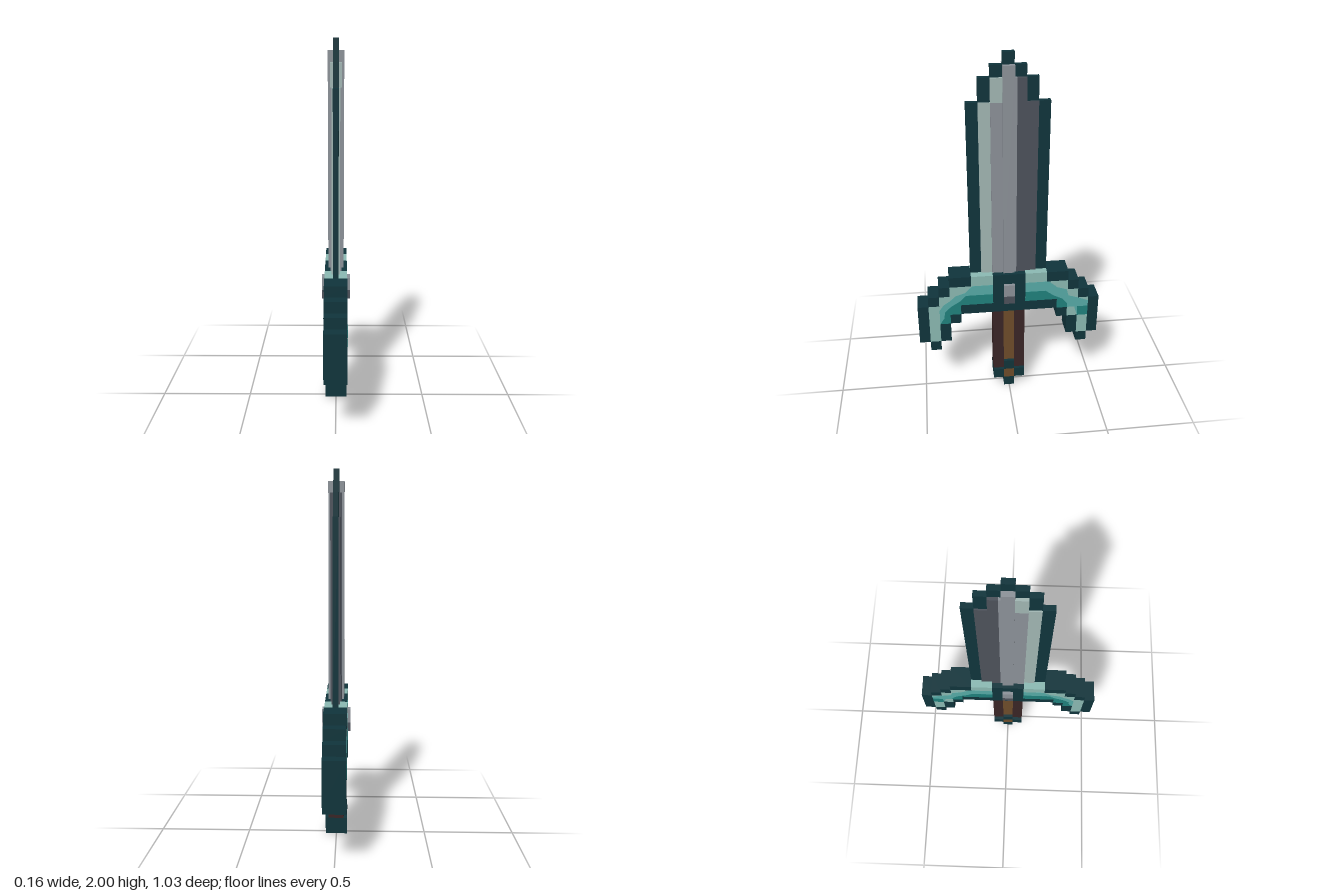
import * as THREE from 'three';

const U = 2 / 33; // size of one pixel block

const paint = (name, color) => Object.assign(new THREE.MeshStandardMaterial({ color }), { name });

export function createModel() {
  const dark = paint('dark teal', 0x10353c);
  const mint = paint('pale mint', 0x8cbbb4);
  const aqua = paint('aqua', 0x57aca8);
  const teal = paint('deep teal', 0x20827e);
  const shine = paint('bright steel', 0xa3b8b5);
  const steel = paint('steel', 0x8d939a);
  const shade = paint('dark steel', 0x4e535c);
  const bark = paint('dark brown', 0x3a2526);
  const wood = paint('wood brown', 0x6f4d2a);

  const model = new THREE.Group();
  model.name = 'sword';
  const section = (name) => {
    const g = new THREE.Group();
    g.name = name;
    model.add(g);
    return g;
  };

  // Box spanning columns z0..z1 and rows y0..y1 in blocks, half = half thickness along x
  const block = (group, name, mat, half, z0, z1, y0, y1) => {
    const mesh = new THREE.Mesh(new THREE.BoxGeometry(half * 2, (y1 - y0) * U, (z1 - z0) * U), mat);
    mesh.position.set(0, ((y0 + y1) / 2) * U, ((z0 + z1) / 2) * U);
    mesh.name = name;
    group.add(mesh);
  };
  // Same block on both sides of the centre line
  const pair = (group, name, mat, half, z0, z1, y0, y1) => {
    block(group, name, mat, half, z0, z1, y0, y1);
    block(group, name, mat, half, -z1, -z0, y0, y1);
  };
  // Polygon in blocks (z, y) extruded through the thickness
  const inlay = (group, name, mat, half, side, points) => {
    const shape = new THREE.Shape(points.map(([z, y]) => new THREE.Vector2(side * z * U, y * U)));
    const geo = new THREE.ExtrudeGeometry(shape, { depth: half * 2, bevelEnabled: false });
    geo.translate(0, 0, -half).rotateY(-Math.PI / 2);
    const mesh = new THREE.Mesh(geo, mat);
    mesh.name = name;
    group.add(mesh);
  };

  // Blade: thin dark rim with strips thickening toward the centre ridge
  const blade = section('blade');
  const rim = 0.0147, outer = 0.022, inner = 0.03, ridge = 0.042;
  pair(blade, 'bladeEdge', dark, rim, 2.5, 3.5, 13, 29);
  pair(blade, 'bladeShoulder', dark, rim, 1.5, 2.5, 29, 31);
  pair(blade, 'bladeUpperStep', dark, rim, 0.5, 1.5, 31, 32);
  block(blade, 'bladeTip', dark, rim, -0.5, 0.5, 32, 33);
  block(blade, 'brightStrip', shine, outer, 1.5, 2.5, 13, 29);
  block(blade, 'steelStrip', steel, inner, 0.5, 1.5, 13, 29);
  block(blade, 'brightStripTop', shine, inner, 0.5, 1.5, 29, 31);
  block(blade, 'ridge', steel, ridge, -0.5, 0.5, 13, 32);
  block(blade, 'ridgeBorder', steel, inner, -0.7, -0.5, 13, 31);
  block(blade, 'shadeStripInner', shade, inner, -1.5, -0.7, 13, 31);
  block(blade, 'shadeStripOuter', shade, outer, -2.5, -1.5, 13, 29);

  // Guard: stepped dark outline around a pale filling
  const guard = section('guard');
  const G = 0.06;
  block(guard, 'guardCentre', dark, G, -1.5, 1.5, 10, 13);
  block(guard, 'guardUnderside', dark, G, -4.5, 4.5, 9, 10);
  const outline = [
    [3.5, 5.5, 12, 13], [5.5, 6.5, 11, 12], [6.5, 7.5, 10, 11], [7.5, 8.5, 6, 10],
    [6.5, 7.5, 5, 6], [5.5, 6.5, 6, 8], [4.5, 5.5, 8, 9],
  ];
  outline.forEach((c) => pair(guard, 'guardOutline', dark, G, ...c));
  const filling = [
    [1.5, 3.5, 12, 13], [1.5, 5.5, 11, 12], [1.5, 6.5, 10, 11],
    [4.5, 7.5, 9, 10], [5.5, 7.5, 8, 9], [6.5, 7.5, 6, 8],
  ];
  filling.forEach((c) => pair(guard, 'guardFilling', mint, G, ...c));

  // Coloured bands following the curve of each guard arm
  const A = G + 0.001, B = G + 0.002;
  inlay(guard, 'aquaBandFront', aqua, A, 1, [
    [1.5, 12], [3.4, 12], [4.1, 11.3], [5, 11], [5.5, 10.5], [6.1, 10.1], [6.5, 9.5],
    [6.5, 8], [5.5, 8], [5.5, 9], [4.5, 9], [4.5, 10], [1.5, 10],
  ]);
  inlay(guard, 'tealBandFront', teal, B, 1, [
    [1.5, 11], [4, 11], [4.6, 10.4], [5.4, 9.9], [6, 9.3], [6.1, 8.6], [6.5, 8],
    [5.5, 8], [5.5, 9], [4.5, 9], [4.5, 10], [1.5, 10],
  ]);
  inlay(guard, 'aquaBandBack', aqua, A, -1, [
    [1.5, 12], [3.7, 12], [4.5, 11.3], [5.4, 11], [5.6, 10.3], [6.5, 10], [7.5, 9.6],
    [7.5, 8], [6.5, 8], [6.2, 9], [4.5, 9], [4.5, 10], [1.5, 10],
  ]);
  inlay(guard, 'tealBandBack', teal, B, -1, [
    [1.5, 11], [3.4, 11], [4.2, 10.4], [5, 10], [5.5, 9.4], [5.5, 9], [4.5, 9], [4.5, 10], [1.5, 10],
  ]);
  inlay(guard, 'tealSpotBack', teal, B, -1, [[6.5, 9], [7.5, 9], [7.5, 8], [6.5, 8]]);

  // Raised stone in the middle of the guard
  const stone = section('stone');
  block(stone, 'stoneTop', steel, 0.078, -0.5, 0.5, 10.8, 12);
  block(stone, 'stoneBottom', shade, 0.078, -0.5, 0.5, 10, 10.8);

  // Grip
  const grip = section('grip');
  pair(grip, 'gripSide', bark, 0.042, 0.5, 1.5, 2, 9);
  block(grip, 'gripCore', wood, 0.042, -0.5, 0.5, 3, 9);

  // Pommel
  const pommel = section('pommel');
  block(pommel, 'pommelCollar', dark, G, -0.5, 0.5, 2, 3);
  pair(pommel, 'pommelSide', dark, G, 0.5, 1.5, 1, 2);
  block(pommel, 'pommelCore', wood, G, -0.5, 0.5, 1, 2);
  block(pommel, 'pommelTip', dark, G, -0.5, 0.5, 0, 1);

  return model;
}
